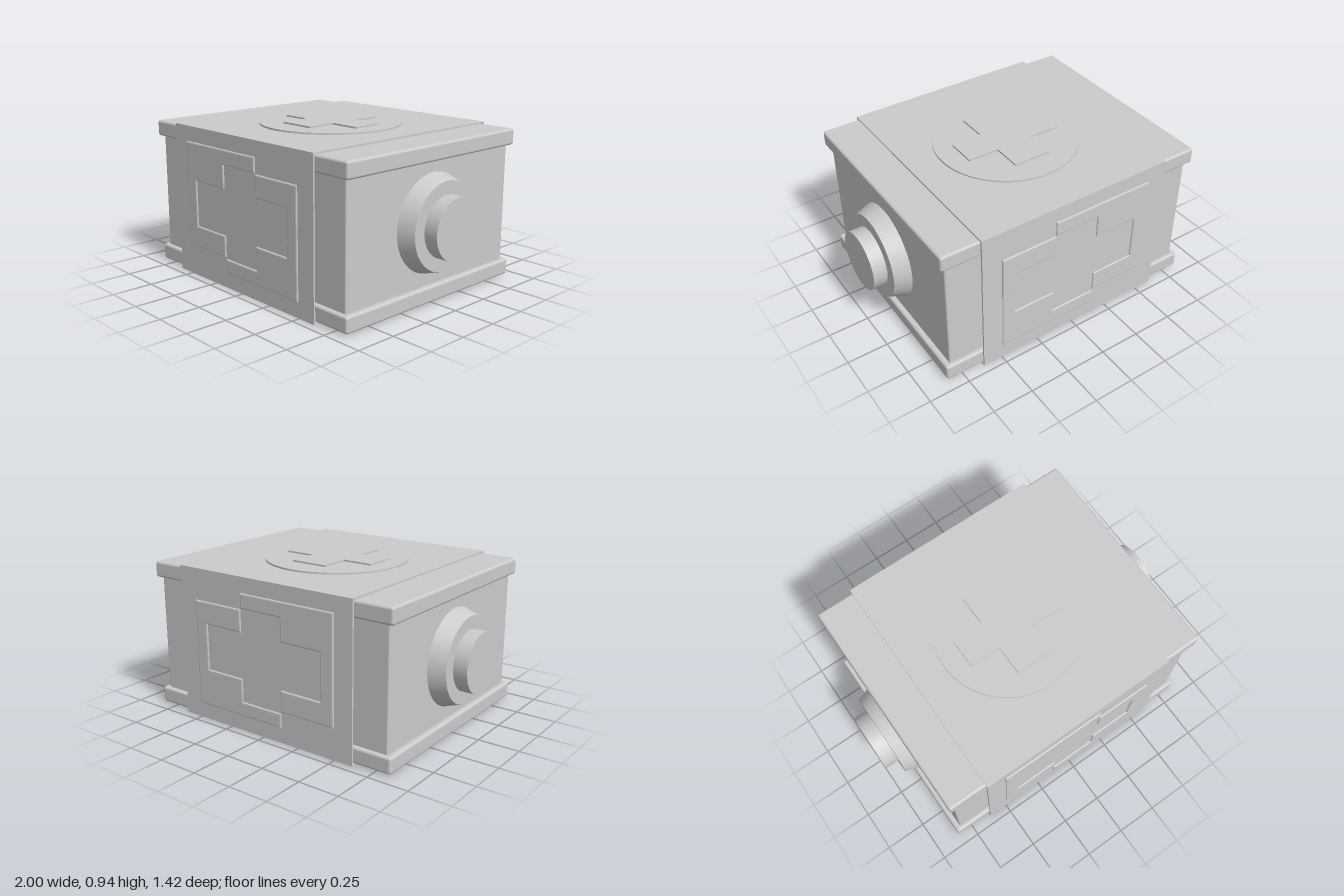
import * as THREE from 'three';
import { RoundedBoxGeometry } from 'three/addons/geometries/RoundedBoxGeometry.js';

const HEIGHT = 0.923, BAND_Z = 0.70, WALL = 0.01;

export function createModel() {
  const group = new THREE.Group();
  const material = new THREE.MeshStandardMaterial({ color: 0xcccccc });

  const add = (name, geometry, x = 0, y = 0, z = 0) => {
    const mesh = new THREE.Mesh(geometry, material);
    mesh.name = name;
    mesh.position.set(x, y, z);
    group.add(mesh);
    return mesh;
  };
  const polygon = (points) => new THREE.Shape(points.map(([x, y]) => new THREE.Vector2(x, y)));
  const rectangle = (w, y0, y1) => [[-w, y0], [w, y0], [w, y1], [-w, y1]];

  // Inner case with a slab above and below
  add('caseBody', new RoundedBoxGeometry(1.635, 0.8, 1.32, 3, 0.012), 0, 0.461, 0);
  for (const [name, y] of [['bottomSlab', 0.059], ['topSlab', 0.864]]) {
    add(name, new RoundedBoxGeometry(1.7, 0.097, 1.37, 3, 0.015), 0, y, 0);
  }

  // Thin hollow band wrapped around the middle
  const bandShape = polygon(rectangle(BAND_Z, 0, HEIGHT));
  bandShape.holes.push(polygon(rectangle(BAND_Z - WALL, WALL, HEIGHT - WALL)));
  const band = new THREE.ExtrudeGeometry(bandShape, { depth: 1.236, bevelEnabled: false });
  band.translate(0, 0, -0.618).rotateY(Math.PI / 2);
  add('centreBand', band);

  // Interlocking raised plates that leave a cross between them, front and back
  const plates = {
    UpperPlate: [[-0.5, 0.83], [-0.5, 0.19], [-0.14, 0.19], [-0.14, 0.32], [-0.415, 0.32],
      [-0.415, 0.6], [-0.14, 0.6], [-0.14, 0.74], [0.146, 0.74], [0.146, 0.83]],
    LowerPlate: [[0.495, 0.095], [0.495, 0.735], [0.15, 0.735], [0.15, 0.6], [0.412, 0.6],
      [0.412, 0.322], [0.15, 0.322], [0.15, 0.18], [-0.135, 0.18], [-0.135, 0.095]],
  };
  for (const [suffix, points] of Object.entries(plates)) {
    for (const side of [1, -1]) {
      const geometry = new THREE.ExtrudeGeometry(polygon(points.map(([x, y]) => [x * side, y])), {
        depth: 0.005, bevelThickness: 0.006, bevelSize: 0.008, bevelOffset: -0.008, bevelSegments: 2,
      });
      geometry.translate(0, 0, BAND_Z - 0.002);
      if (side < 0) geometry.rotateY(Math.PI);
      add((side > 0 ? 'front' : 'back') + suffix, geometry);
    }
  }

  // Round badge with a cross on the lid
  add('lidDisc', new THREE.CylinderGeometry(0.432, 0.432, 0.014, 96), 0, HEIGHT + 0.003, 0);
  const a = 0.117, b = 0.092, w = 0.307, h = 0.275;
  const cross = new THREE.ExtrudeGeometry(polygon([[-a, -h], [a, -h], [a, -b], [w, -b], [w, b], [a, b],
    [a, h], [-a, h], [-a, b], [-w, b], [-w, -b], [-a, -b]]), { depth: 0.014, bevelEnabled: false });
  add('lidCross', cross.rotateX(-Math.PI / 2), 0, HEIGHT + 0.006, 0);

  // Tapered boss and round button on each end
  for (const side of [1, -1]) {
    const prefix = side > 0 ? 'left' : 'right';
    const turn = -side * Math.PI / 2;
    add(prefix + 'Boss', new THREE.CylinderGeometry(0.255, 0.29, 0.105, 64).rotateZ(turn), side * 0.8625, 0.463, 0);
    add(prefix + 'Button', new THREE.CylinderGeometry(0.179, 0.179, 0.1, 64).rotateZ(turn), side * 0.95, 0.463, 0);
  }
  return group;
}
